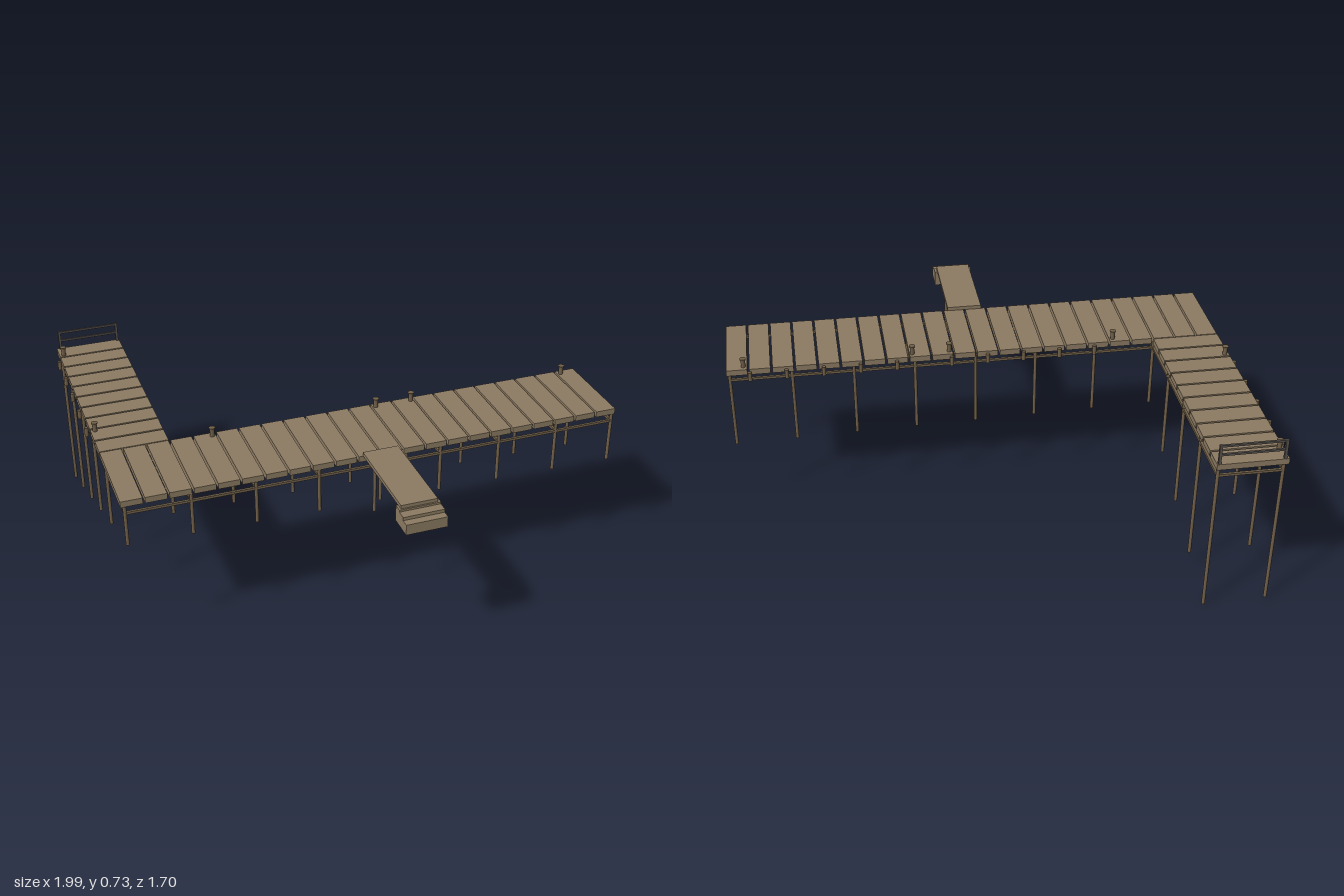
import * as THREE from 'three';

const material = (name, color) => {
  const m = new THREE.MeshStandardMaterial({ color });
  m.name = name;
  return m;
};

export function createModel() {
  const root = new THREE.Group();
  root.name = 'boardwalk';
  const plankWood = material('plank wood', 0x8b7a62);
  const postWood = material('post wood', 0x716049);
  const darkMetal = material('dark metal', 0x57514c);

  const group = (name) => {
    const g = new THREE.Group();
    g.name = name;
    root.add(g);
    return g;
  };
  // Box given by its lower and upper corners
  const box = (parent, name, mat, [x0, y0, z0], [x1, y1, z1]) => {
    const mesh = new THREE.Mesh(new THREE.BoxGeometry(x1 - x0, y1 - y0, z1 - z0), mat);
    mesh.position.set((x0 + x1) / 2, (y0 + y1) / 2, (z0 + z1) / 2);
    mesh.name = name;
    parent.add(mesh);
  };
  // Upright round member from y0 to y1
  const pole = (parent, name, mat, x, z, y0, y1, r, rTop = r) => {
    const mesh = new THREE.Mesh(new THREE.CylinderGeometry(rTop, r, y1 - y0, 10), mat);
    mesh.position.set(x, (y0 + y1) / 2, z);
    mesh.name = name;
    parent.add(mesh);
  };

  // Deck planks: long arm, then the arm running back
  const deckLow = 0.621, deckTop = 0.645, pitch = 0.09, gap = 0.004;
  const mainDeck = group('mainDeck');
  for (let i = 0; i < 22; i++) {
    const x = -0.985 + i * pitch;
    box(mainDeck, 'plank', plankWood, [x + gap, deckLow, 0.046], [x + pitch - gap, deckTop, 0.402]);
  }
  const sideDeck = group('sideDeck');
  for (let i = 0; i < 10; i++) {
    const z = -0.855 + i * pitch;
    box(sideDeck, 'plank', plankWood, [-0.982, deckLow, z + gap], [-0.716, deckTop, z + pitch - gap]);
  }

  // Posts reach down to a sloping bank
  const bank = (x, z) => Math.max(0, 0.293 + 0.0218 * (0.98 - x) + 0.365 * (z - 0.065));
  const posts = group('posts');
  const postX = Array.from({ length: 9 }, (_, i) => -0.966 + i * 0.2432);
  const sideX = [-0.966, -0.725];
  const sideZ = [-0.175, -0.4, -0.625, -0.84];
  const postR = 0.0068;
  for (const x of postX)
    for (const z of [0.065, 0.397]) pole(posts, 'post', postWood, x, z, bank(x, z), deckLow, postR);
  for (const z of sideZ)
    for (const x of sideX) pole(posts, 'post', postWood, x, z, bank(x, z), deckLow, postR);

  // Beams joining the posts, lengthwise and crosswise
  const beams = group('beams');
  const b0 = 0.587, b1 = 0.597, h = 0.005;
  for (const z of [0.065, 0.397]) box(beams, 'longBeam', postWood, [-0.966, b0, z - h], [0.98, b1, z + h]);
  for (const x of postX) box(beams, 'crossBeam', postWood, [x - h, b0, 0.065], [x + h, b1, 0.397]);
  for (const x of sideX) box(beams, 'longBeam', postWood, [x - h, b0, -0.84], [x + h, b1, 0.065]);
  for (const z of sideZ) box(beams, 'crossBeam', postWood, [-0.966, b0, z - h], [-0.725, b1, z + h]);

  // Fender stubs along the mooring edges
  const fenders = group('fenders');
  for (const x of [-0.473, -0.33, -0.184, -0.04, 0.105, 0.323, 0.467, 0.612, 0.757, 0.9])
    pole(fenders, 'fender', postWood, x, 0.039, 0.598, 0.636, 0.008);
  for (const z of [-0.743, -0.598, -0.454, -0.31, -0.165])
    pole(fenders, 'fender', postWood, -0.991, z, 0.602, 0.638, 0.008);

  // Mooring bollards
  const bollards = group('bollards');
  for (const [x, z] of [[-0.553, 0.07], [0.112, 0.07], [0.26, 0.07], [0.923, 0.07], [-0.965, -0.782], [-0.965, -0.118]]) {
    pole(bollards, 'bollardStem', postWood, x, z, deckTop, 0.676, 0.009);
    pole(bollards, 'bollardCap', postWood, x, z, 0.675, 0.682, 0.011, 0.013);
  }

  // Railing closing the far end
  const railing = group('endRailing');
  for (const x of sideX) box(railing, 'railPost', darkMetal, [x - 0.005, deckLow, -0.85], [x + 0.005, 0.725, -0.84]);
  for (const y of [0.683, 0.72]) box(railing, 'rail', darkMetal, [-0.966, y - 0.004, -0.849], [-0.725, y + 0.004, -0.841]);

  // Gangway and its steps
  const gangway = group('gangway');
  box(gangway, 'gangwayBoard', plankWood, [-0.065, 0.645, 0.398], [0.075, 0.66, 0.778]);
  for (const x of [-0.06, 0.068]) pole(gangway, 'gangwayPost', postWood, x, 0.51, 0.47, 0.646, 0.0065);
  const steps = group('steps');
  for (const [z0, z1, top] of [[0.75, 0.784, 0.646], [0.784, 0.82, 0.638], [0.82, 0.85, 0.625]])
    box(steps, 'step', plankWood, [-0.073, 0.583, z0], [0.085, top, z1]);

  return root;
}
